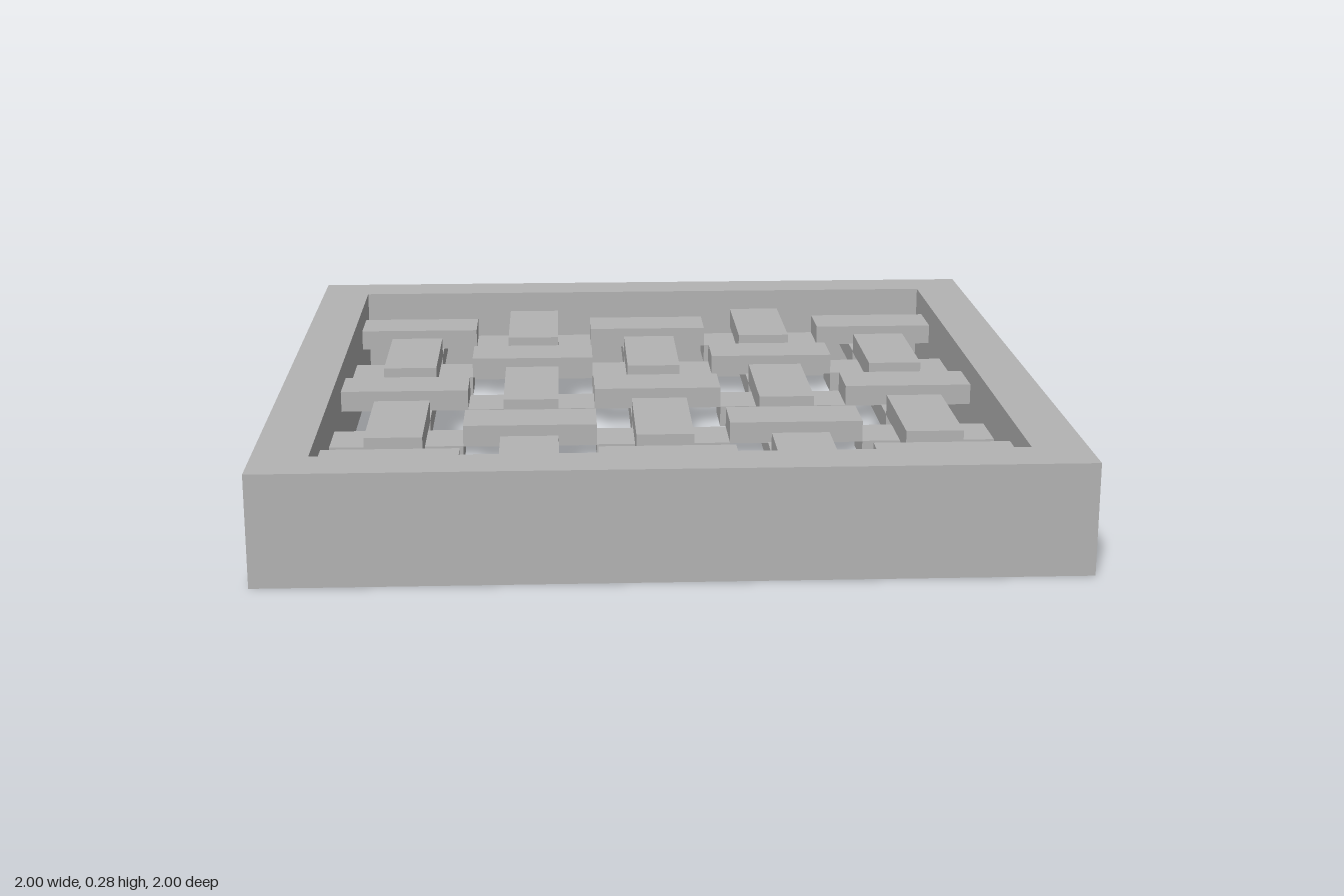
import * as THREE from 'three';

export function createModel() {
  const model = new THREE.Group();
  model.name = 'wovenGrate';
  const grey = new THREE.MeshStandardMaterial({ color: 0xb4b4b4 });
  grey.name = 'plain grey';

  const height = 0.28, inner = 0.863;

  // square contour for the frame outline and its opening
  const square = (h, Kind) => {
    const s = new Kind();
    s.moveTo(-h, -h).lineTo(h, -h).lineTo(h, h).lineTo(-h, h).closePath();
    return s;
  };

  // Outer frame
  const outline = square(1, THREE.Shape);
  outline.holes.push(square(inner, THREE.Path));
  const frameGeo = new THREE.ExtrudeGeometry(outline, { depth: height, bevelEnabled: false });
  frameGeo.rotateX(-Math.PI / 2);
  const frame = new THREE.Mesh(frameGeo, grey);
  frame.name = 'frame';
  model.add(frame);

  // Woven slats: each is a run of flat segments stepping over and under
  const count = 5, pitch = (2 * inner) / count, width = 0.148, thick = 0.056;
  const overY = 0.193, underY = 0.139;
  const segment = new THREE.BoxGeometry(pitch, thick, width);

  const addSlat = (index, crosswise) => {
    const slat = new THREE.Group();
    slat.name = crosswise ? 'crossSlat' : 'lengthSlat';
    for (let j = 0; j < count; j++) {
      const over = ((index + j) % 2 === 0) === crosswise;
      const part = new THREE.Mesh(segment, grey);
      part.name = over ? 'overSegment' : 'underSegment';
      part.position.set((j - 2) * pitch, over ? overY : underY, 0);
      slat.add(part);
    }
    const offset = (index - 2) * pitch;
    if (crosswise) {
      slat.position.z = offset;
    } else {
      slat.rotation.y = Math.PI / 2;
      slat.position.x = offset;
    }
    model.add(slat);
  };

  for (let i = 0; i < count; i++) {
    addSlat(i, true);
    addSlat(i, false);
  }
  return model;
}
